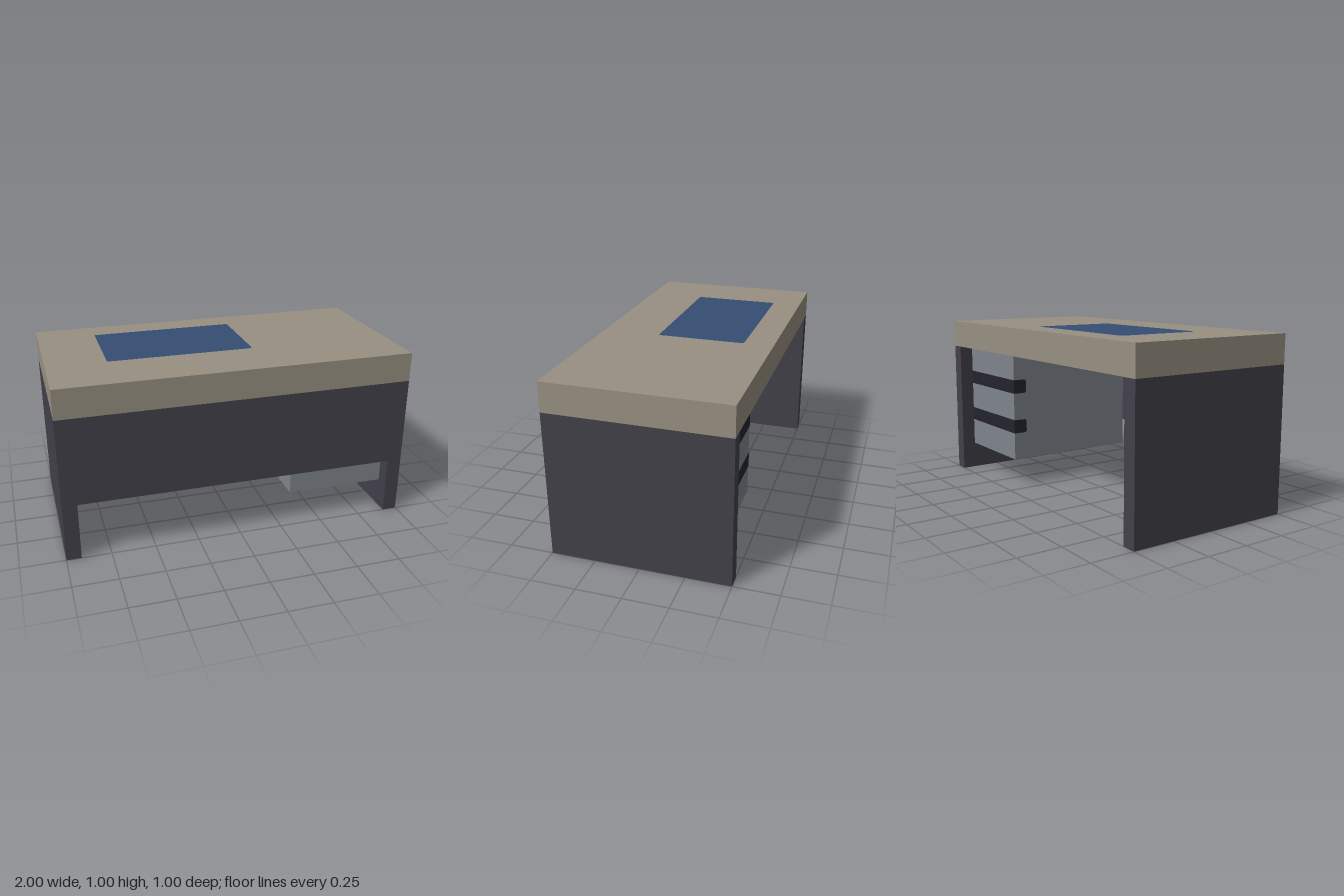
import * as THREE from 'three';

const mat = (name, color) => {
  const m = new THREE.MeshStandardMaterial({ color });
  m.name = name;
  return m;
};

// Rounded rectangle from (x0, y0) to (x1, y1)
function roundedRect(x0, y0, x1, y1, r) {
  const s = new THREE.Shape();
  s.absarc(x1 - r, y1 - r, r, 0, Math.PI / 2);
  s.absarc(x0 + r, y1 - r, r, Math.PI / 2, Math.PI);
  s.absarc(x0 + r, y0 + r, r, Math.PI, Math.PI * 1.5);
  s.absarc(x1 - r, y0 + r, r, Math.PI * 1.5, Math.PI * 2);
  s.closePath();
  return s;
}

export function createModel() {
  const tan = mat('tan top', 0x989082);
  const dark = mat('dark frame', 0x42414a);
  const grey = mat('grey cabinet', 0x7e858c);
  const black = mat('drawer gap', 0x24252d);
  const blue = mat('blue pad', 0x364e72);

  const desk = new THREE.Group();
  desk.name = 'desk';
  const add = (name, geometry, material) => {
    const mesh = new THREE.Mesh(geometry, material);
    mesh.name = name;
    desk.add(mesh);
    return mesh;
  };
  // Box given by its minimum and maximum corners
  const box = (name, material, [x0, y0, z0], [x1, y1, z1]) =>
    add(name, new THREE.BoxGeometry(x1 - x0, y1 - y0, z1 - z0), material)
      .position.set((x0 + x1) / 2, (y0 + y1) / 2, (z0 + z1) / 2);

  const t = 1 / 12; // panel thickness
  const top = 10 * t; // underside of the desktop
  const inner = 1 - t; // inner face of the side panels
  const back = t - 0.5; // drawer fronts
  const cabX = 4 * t; // open side of the cabinet

  // Desktop, side panels and front panel
  box('desktop', tan, [-1, top, -0.5], [1, 1, 0.5]);
  box('leftSidePanel', dark, [inner, 0, -0.5], [1, top, 0.5]);
  box('rightSidePanel', dark, [-1, 0, -0.5], [-inner, top, 0.5]);
  box('frontPanel', dark, [-inner, 4 * t, 0.5 - t], [inner, top, 0.5]);

  // Drawer cabinet hanging under the desktop
  box('drawerCabinet', grey, [cabX, 2 * t, back], [inner, top, 0.5 - t]);

  // Dark gaps between drawers, wrapping round the open side
  for (const y of [4 * t, 7 * t]) {
    box('drawerGap', black, [cabX - 0.002, y, back - 0.002], [inner, y + t, back + 0.06]);
    const end = new THREE.ShapeGeometry(roundedRect(back, y, back + t, y + t, 0.015));
    end.rotateY(-Math.PI / 2);
    add('drawerGapEnd', end, black).position.x = cabX - 0.003;
  }

  // Desk pad lying flush on the top
  const pad = new THREE.ShapeGeometry(roundedRect(-8 * t, -2 * t, 2 * t, 4 * t, 0.012));
  pad.rotateX(-Math.PI / 2);
  add('deskPad', pad, blue).position.y = 1.002;

  return desk;
}
